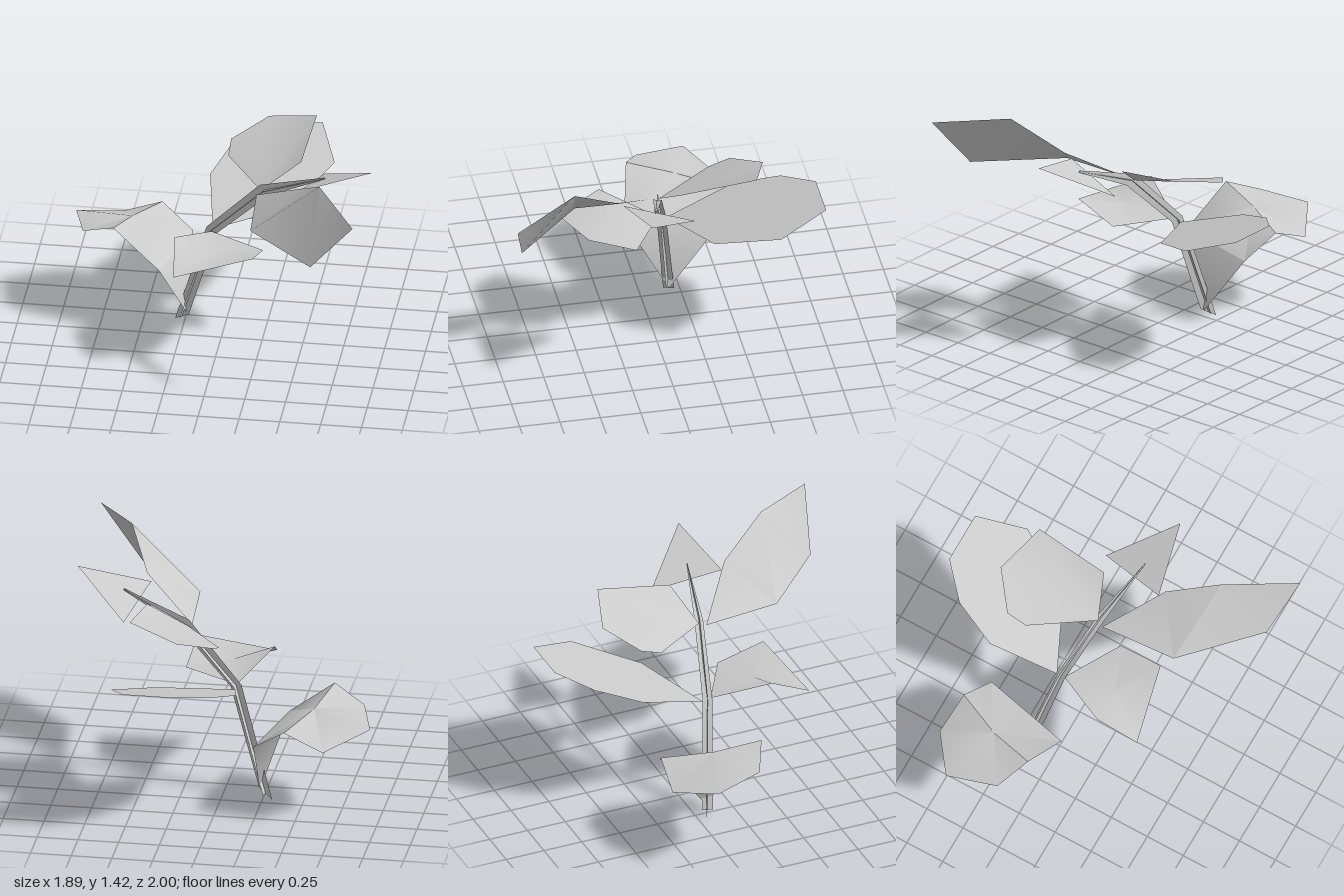
import * as THREE from 'three';
import { toCreasedNormals } from 'three/addons/utils/BufferGeometryUtils.js';

const material = new THREE.MeshStandardMaterial({ color: 0xcccccc, side: THREE.DoubleSide });

// Thin sheet from a few corner points and triangles
function sheet(name, points, faces) {
  const geometry = new THREE.BufferGeometry();
  geometry.setAttribute('position', new THREE.Float32BufferAttribute(points.flat(), 3));
  geometry.setIndex(faces.flat());
  geometry.computeVertexNormals();
  const mesh = new THREE.Mesh(toCreasedNormals(geometry, 0.8), material);
  mesh.name = name;
  return mesh;
}

// Triangles fanning out from the first point
function fan(count, closed = false) {
  const faces = [];
  for (let i = 1; i < count - 1; i++) faces.push([0, i, i + 1]);
  if (closed) faces.push([0, count - 1, 1]);
  return faces;
}

// Stem: two crossed strips along the same bent path, tapering to the tip
function createStem() {
  const path = [[-0.265, 0.04, -0.175], [-0.07, 0.7, -0.09], [0.265, 1.05, 0.0], [0.65, 1.21, 0.09]];
  const sides = {
    stemWideStrip: [[0.045, 0.03, 0.025], [0.035, -0.012, 0.012], [0.03, -0.03, 0.006], [0.003, -0.005, 0]],
    stemCrossStrip: [[-0.012, 0, 0.032], [-0.01, 0, 0.028], [-0.007, 0, 0.025], [0, 0, 0.003]],
  };
  const stem = new THREE.Group();
  stem.name = 'stem';
  for (const [name, offsets] of Object.entries(sides)) {
    const points = [];
    const faces = [];
    path.forEach((p, i) => {
      points.push(p.map((v, k) => v - offsets[i][k]), p.map((v, k) => v + offsets[i][k]));
      const a = 2 * i;
      if (i < path.length - 1) faces.push([a, a + 1, a + 3], [a, a + 3, a + 2]);
    });
    stem.add(sheet(name, points, faces));
  }
  return stem;
}

export function createModel() {
  const plant = new THREE.Group();
  plant.name = 'plant';
  plant.add(createStem());

  // Large drooping leaf at the foot: stalk panel, rising panel, spread blade
  plant.add(sheet('lowerLeaf', [
    [-0.23, 0.06, -0.17], [-0.24, 0.47, -0.48], [-0.37, 0.485, 0.08],
    [-0.58, 0.66, -0.27], [-0.66, 0.72, 0.01], [-0.86, 0.63, -0.09],
    [-0.945, 0.6, -0.4], [-0.685, 0.51, -0.59], [-0.44, 0.61, -0.56],
  ], [[0, 2, 1], [1, 2, 3], [2, 4, 3], [3, 4, 5], [3, 5, 6], [3, 6, 7], [3, 7, 8], [3, 8, 1]]));

  // Middle front leaf, folded around its centre
  plant.add(sheet('middleFrontLeaf', [
    [0, 0.73, 0.25], [-0.07, 0.7, -0.07], [-0.25, 0.825, 0.26],
    [-0.22, 0.69, 0.52], [0.25, 0.8, 0.42], [0.275, 0.705, 0.13],
  ], fan(6, true)));

  // Middle back leaf, flat and sloping up to the rear
  const backOutline = [[-0.07, -0.12], [0.38, -0.33], [0.595, -0.7], [0.48, -1],
    [0.16, -1], [-0.035, -0.82], [-0.145, -0.545]];
  plant.add(sheet('middleBackLeaf',
    backOutline.map(([x, z]) => [x, 0.648 - 0.337 * z, z]), fan(7)));

  // Upper front leaf, long and rising
  plant.add(sheet('upperFrontLeaf', [
    [0.22, 1.03, 0.03], [0.54, 1.24, 0.29], [0.685, 1.43, 0.595],
    [0.945, 1.38, 1], [0.675, 1.05, 0.92], [0.25, 1.045, 0.51],
  ], [[0, 5, 1], [1, 5, 2], [2, 5, 4], [2, 4, 3]]));

  // Upper back leaf, slightly curled
  plant.add(sheet('upperBackLeaf', [
    [0.24, 1.04, -0.01], [0.475, 1.205, -0.1], [0.505, 1.275, -0.565],
    [0.2, 1.195, -0.665], [-0.01, 1.11, -0.5], [-0.01, 1.065, -0.37],
  ], fan(6)));

  // Small triangular leaf at the tip
  plant.add(sheet('tipLeaf',
    [[0.61, 1.1, -0.165], [0.51, 1.2, 0.26], [0.945, 1.31, 0.165]], [[0, 1, 2]]));

  return plant;
}
